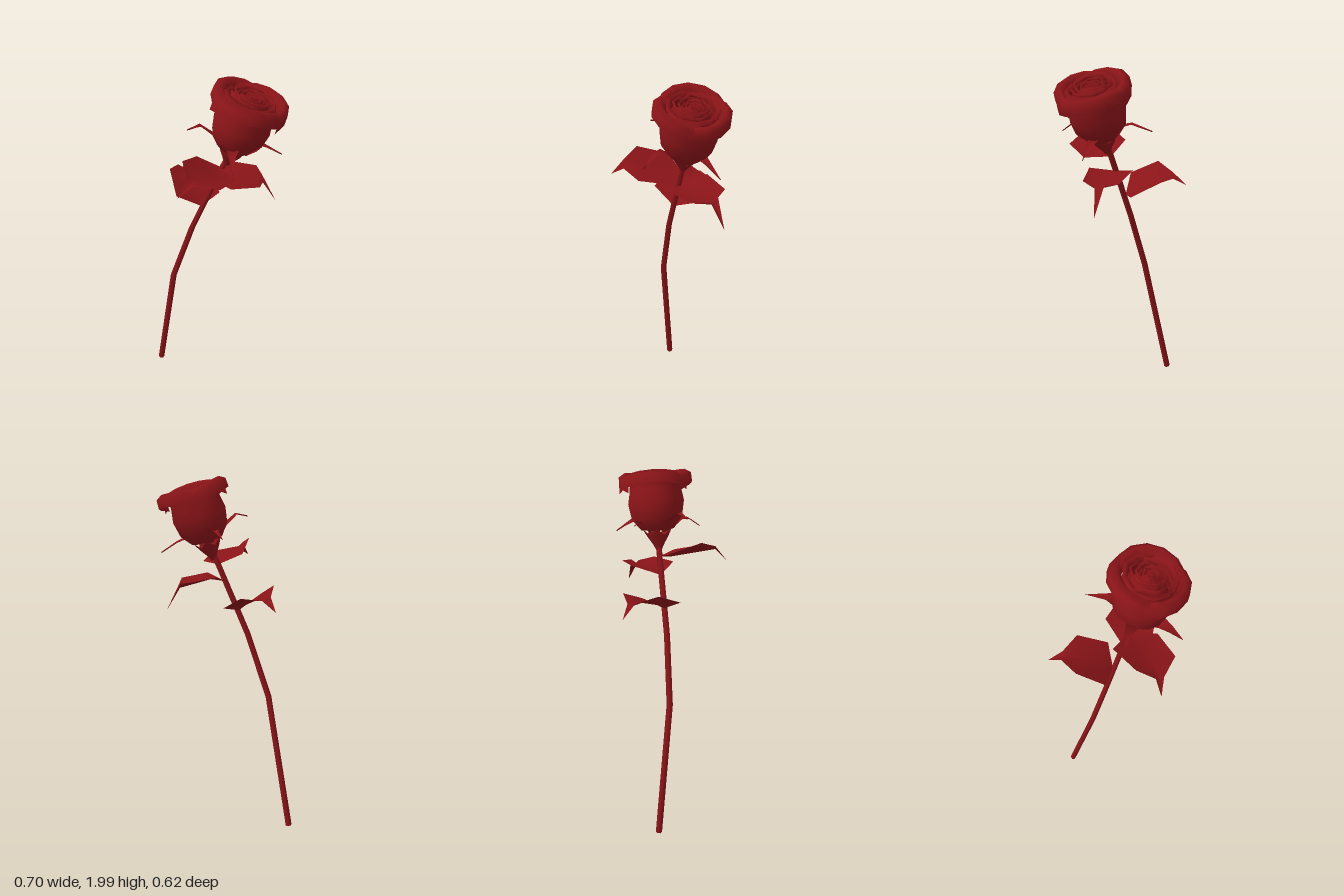
import * as THREE from 'three';

const red = new THREE.MeshStandardMaterial({ color: 0x8a1418, side: THREE.DoubleSide });
const V = (x, y, z) => new THREE.Vector3(x, y, z);
const UP = V(0, 1, 0);

// Surface through rows of points (every row has the same length)
function sheet(name, rows) {
  const n = rows[0].length, index = [];
  for (let i = 0; i < rows.length - 1; i++) {
    for (let j = 0; j < n - 1; j++) {
      const a = i * n + j, b = a + n;
      index.push(a, b, a + 1, a + 1, b, b + 1);
    }
  }
  const g = new THREE.BufferGeometry().setFromPoints(rows.flat());
  g.setIndex(index);
  g.computeVertexNormals();
  const mesh = new THREE.Mesh(g, red);
  mesh.name = name;
  return mesh;
}

// Six-sided tapering stem with kinks at the given points
function stem(points, r0, r1) {
  const last = points.length - 1, sides = 6;
  const rows = points.map((p, i) => {
    const dir = points[Math.min(i + 1, last)].clone().sub(points[Math.max(i - 1, 0)]).normalize();
    const q = new THREE.Quaternion().setFromUnitVectors(UP, dir);
    const r = THREE.MathUtils.lerp(r0, r1, i / last);
    return Array.from({ length: sides + 1 }, (_, k) => {
      const a = (k / sides) * Math.PI * 2;
      return V(r * Math.cos(a), 0, r * Math.sin(a)).applyQuaternion(q).add(p);
    });
  });
  rows.unshift(rows[0].map(() => points[0].clone()));
  return sheet('stem', rows);
}

// Leaf folded along its midrib: base, cross-sections [left, rib, right], tip
function leaf(name, base, sections, tip) {
  const row = (p) => [V(...p), V(...p), V(...p)];
  return sheet(name, [row(base), ...sections.map((s) => s.map((p) => V(...p))), row(tip)]);
}

// Narrow pointed sepal following a bent path
function sepal(path) {
  const pts = path.map((p) => V(...p));
  const dir = pts[3].clone().sub(pts[0]).setY(0).normalize();
  const side = dir.cross(UP);
  const half = [0.025, 0.03, 0.018, 0];
  return sheet('sepal', pts.map((p, i) => [-1, 0, 1].map((s) =>
    p.clone().addScaledVector(side, s * half[i]).add(V(0, s ? 0.006 : 0, 0)))));
}

// Petal wrapped around the flower axis; profile holds [radius, height] from base to lip
function petal(name, profile, centre, span, cols, droop, spiral) {
  const rows = profile.map(([r, h], k) => {
    const t = k / (profile.length - 1);
    return Array.from({ length: cols + 1 }, (_, j) => {
      const u = (j / cols) * 2 - 1;
      const a = centre + (u * span) / 2;
      const rr = r * (1 + spiral * u - 0.07 * u * u * t);
      return V(rr * Math.cos(a), h - droop * u * u * t * t, rr * Math.sin(a));
    });
  });
  return sheet(name, rows);
}

export function createModel() {
  const model = new THREE.Group();
  model.name = 'rose';

  model.add(stem([
    V(-0.33, 0.005, -0.19), V(-0.23, 0.78, -0.06), V(-0.12, 1.14, -0.01),
    V(0.035, 1.53, 0.04), V(0.07, 1.61, 0.055),
  ], 0.018, 0.014));

  // Three leaves
  model.add(leaf('lowerLeaf', [-0.07, 1.28, 0], [
    [[-0.2, 1.36, 0.02], [-0.09, 1.315, -0.04], [0.035, 1.315, -0.07]],
    [[-0.225, 1.44, -0.13], [-0.115, 1.37, -0.16], [-0.02, 1.4, -0.215]],
    [[-0.175, 1.405, -0.235], [-0.15, 1.385, -0.24], [-0.125, 1.39, -0.25]],
  ], [-0.18, 1.34, -0.31]));
  model.add(leaf('upperLeaf', [0.035, 1.53, 0.04], [
    [[-0.09, 1.585, 0.01], [0.0, 1.53, 0.09], [0.09, 1.525, 0.17]],
    [[-0.17, 1.645, 0.16], [-0.085, 1.56, 0.21], [0, 1.555, 0.295]],
    [[-0.16, 1.605, 0.255], [-0.14, 1.58, 0.27], [-0.125, 1.575, 0.285]],
  ], [-0.205, 1.525, 0.305]));
  model.add(leaf('sideLeaf', [0.0, 1.44, 0.025], [
    [[0.08, 1.49, -0.1], [0.08, 1.455, 0.025], [0.07, 1.465, 0.15]],
    [[0.23, 1.465, -0.08], [0.22, 1.425, 0.02], [0.22, 1.45, 0.12]],
    [[0.25, 1.45, -0.01], [0.25, 1.42, 0.015], [0.25, 1.435, 0.04]],
  ], [0.325, 1.3, 0.015]));

  // Sepals spreading below the bloom
  [
    [[0.03, 1.66, 0.07], [-0.01, 1.73, 0.075], [-0.075, 1.785, 0.08], [-0.14, 1.77, 0.09]],
    [[0.13, 1.635, 0.06], [0.2, 1.67, 0.06], [0.25, 1.65, 0.065], [0.335, 1.6, 0.065]],
    [[0.08, 1.64, 0.11], [0.07, 1.7, 0.19], [0.06, 1.69, 0.24], [0.055, 1.64, 0.305]],
    [[0.09, 1.65, 0.01], [0.09, 1.72, -0.06], [0.085, 1.73, -0.09], [0.07, 1.7, -0.195]],
  ].forEach((path) => model.add(sepal(path)));

  // Bloom, tilted on the end of the stem
  const bloom = new THREE.Group();
  bloom.name = 'bloom';
  bloom.position.set(0.085, 1.65, 0.06);
  bloom.quaternion.setFromUnitVectors(UP, V(0.09, 0.3, 0.03).normalize());
  model.add(bloom);

  // Calyx cup with a zigzag rim
  const calyx = [[0.014, -0.1], [0.032, -0.065], [0.055, -0.03], [0.075, 0.005]];
  bloom.add(sheet('calyx', calyx.map(([r, h], k) => Array.from({ length: 11 }, (_, j) => {
    const a = (j / 10) * Math.PI * 2;
    const point = k === 3 ? (j % 2 ? -0.025 : 0.012) : 0;
    return V((r + point * 0.6) * Math.cos(a), h + point, (r + point * 0.6) * Math.sin(a));
  }))));

  // Outer petals with rolled-over lips
  const outer = [[0.01, 0], [0.085, 0.01], [0.13, 0.07], [0.145, 0.15], [0.133, 0.22],
    [0.13, 0.275], [0.158, 0.308], [0.19, 0.29], [0.193, 0.245]];
  [215, 335, 95].forEach((deg) =>
    bloom.add(petal('outerPetal', outer, THREE.MathUtils.degToRad(deg), 2.55, 6, 0.045, 0.04)));

  // Second layer
  const second = [[0.05, 0.02], [0.12, 0.08], [0.128, 0.17], [0.108, 0.265], [0.122, 0.298], [0.136, 0.28]];
  [275, 35, 155].forEach((deg) =>
    bloom.add(petal('middlePetal', second, THREE.MathUtils.degToRad(deg), 2.5, 4, 0.02, 0.06)));

  // Tight inner whorls
  [0.088, 0.066, 0.046, 0.03, 0.016, 0.006].forEach((r, ring) => {
    const top = 0.3 - ring * 0.002;
    const profile = [[r + 0.02, 0.1], [r + 0.022, 0.2], [r, top - 0.012], [r + 0.007, top], [r + 0.013, top - 0.01]];
    for (let i = 0; i < 3; i++) {
      bloom.add(petal('innerPetal', profile, ring * 0.85 + (i * Math.PI * 2) / 3, 2.6, 3, 0.012, 0.1));
    }
  });

  return model;
}
